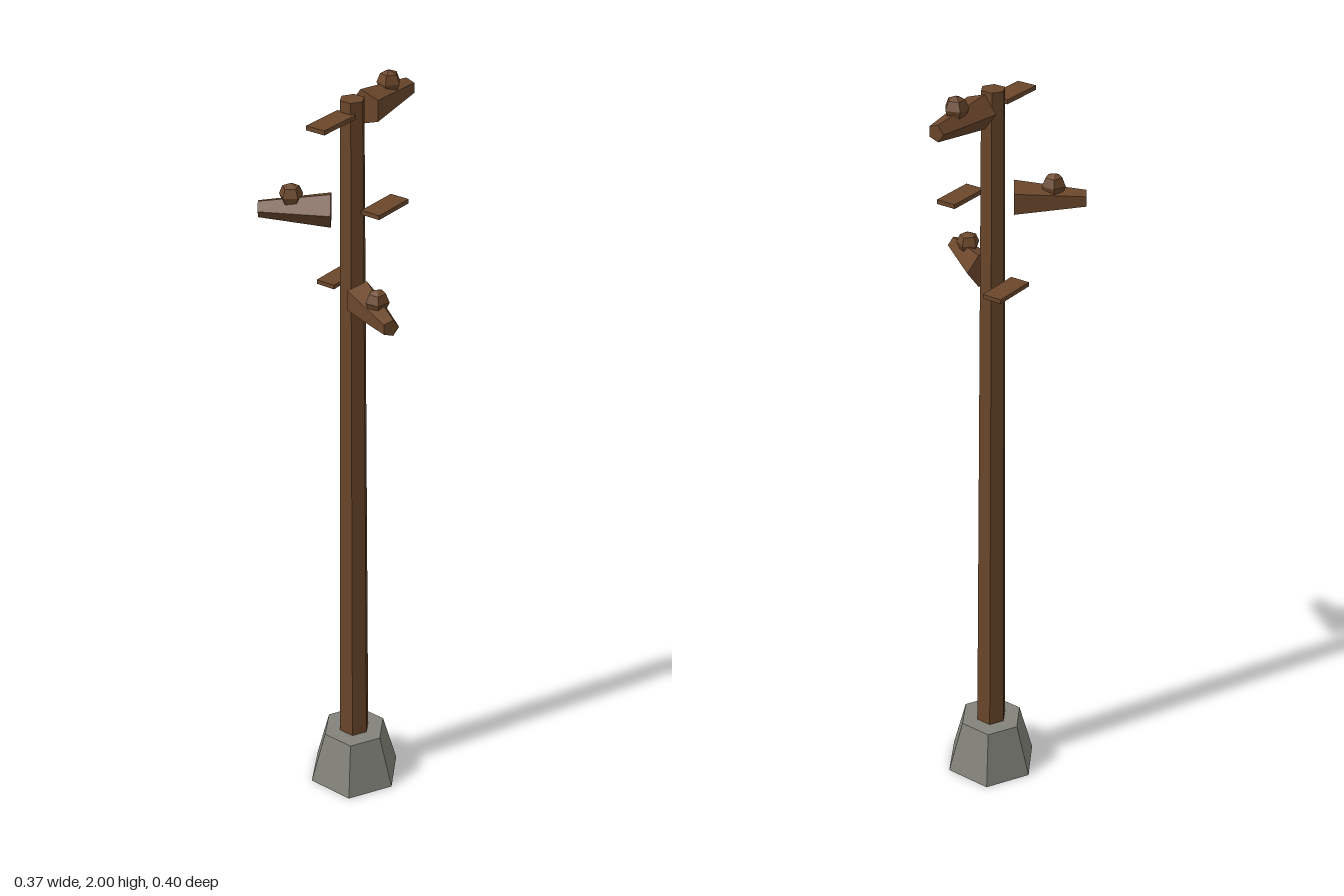
import * as THREE from 'three';

const wood = new THREE.MeshStandardMaterial({ color: 0x6b472b, flatShading: true });
const stone = new THREE.MeshStandardMaterial({ color: 0x83837b, flatShading: true });

// Axis of the post
const CX = -0.038, CZ = -0.009;

function add(parent, name, geometry, material, x, y, z) {
  const mesh = new THREE.Mesh(geometry, material);
  mesh.name = name;
  mesh.position.set(x, y, z);
  parent.add(mesh);
  return mesh;
}

// Tapered five-sided arm with a faceted knob, reaching outward from the post
function makeArm(y, degrees) {
  const arm = new THREE.Group();
  arm.name = 'arm';
  const inner = 0.051, outer = 0.223;
  const beam = new THREE.CylinderGeometry(0.0215, 0.0447, outer - inner, 5);
  beam.rotateY(Math.PI); // ridge towards -z
  beam.rotateZ(-Math.PI / 2); // lay along +x
  add(arm, 'armBeam', beam, wood, (inner + outer) / 2, 0, 0);
  const knob = new THREE.SphereGeometry(0.03, 5, 4);
  knob.rotateY(Math.PI / 2);
  add(arm, 'armKnob', knob, wood, 0.145, 0.035, 0);
  arm.position.set(CX, y, CZ);
  arm.rotation.y = THREE.MathUtils.degToRad(degrees);
  return arm;
}

export function createModel() {
  const model = new THREE.Group();
  model.name = 'postWithArms';

  // Hexagonal stone footing and tapered wooden post
  add(model, 'footing', new THREE.CylinderGeometry(0.087, 0.128, 0.15, 6), stone, CX, 0.075, CZ);
  const bottom = 0.01, top = 1.973;
  add(model, 'post', new THREE.CylinderGeometry(0.0305, 0.0428, top - bottom, 6), wood,
    CX, (bottom + top) / 2, CZ);

  // Arms: height, direction around the post
  for (const [y, degrees] of [[1.935, 0], [1.698, 125], [1.487, 240]]) {
    model.add(makeArm(y, degrees));
  }

  // Flat planks: centre of each
  for (const [x, y, z] of [[-0.117, 1.94, -0.01], [0.007, 1.704, 0.053], [0, 1.489, -0.076]]) {
    add(model, 'plank', new THREE.BoxGeometry(0.119, 0.011, 0.052), wood, x, y, z);
  }
  return model;
}
